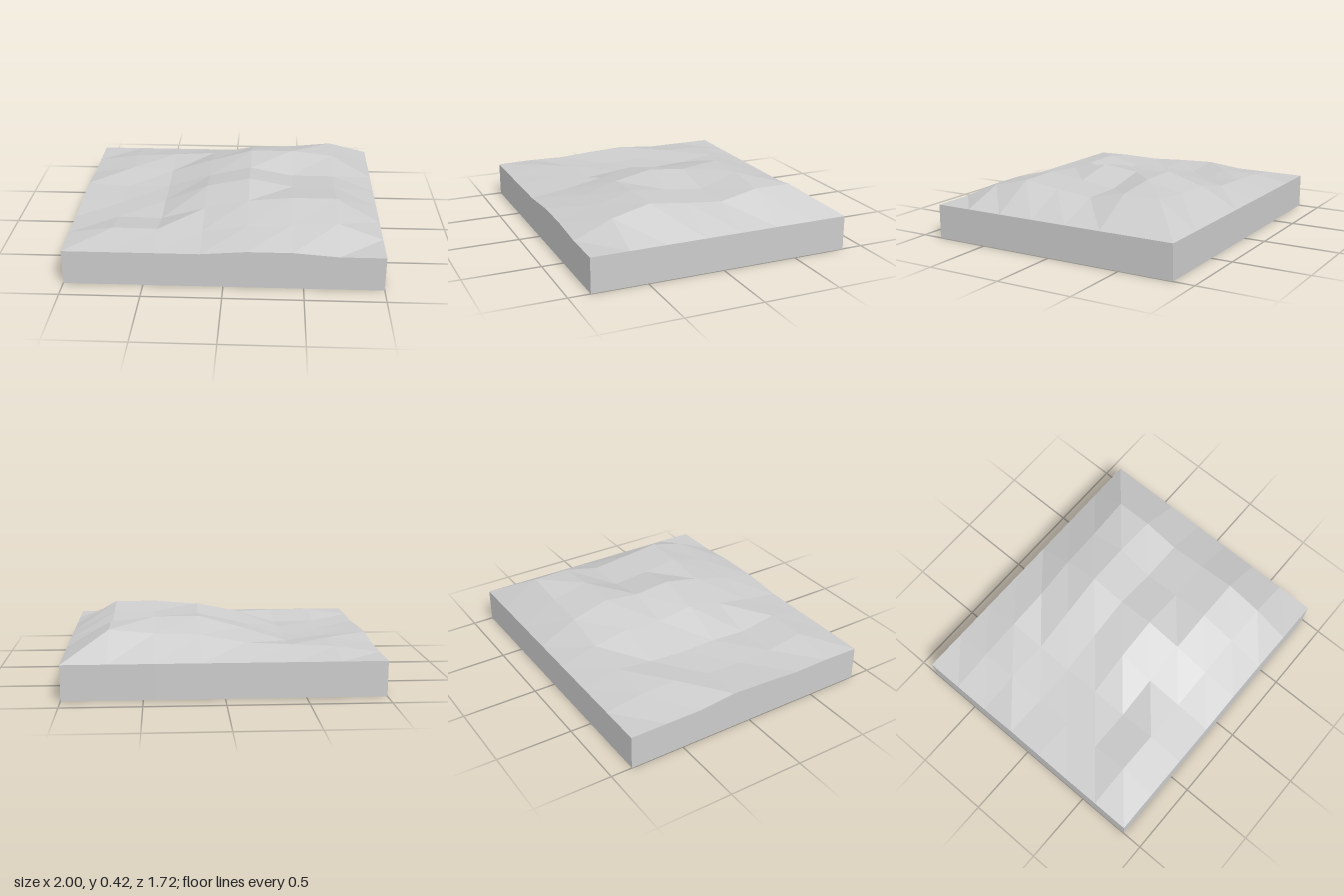
import * as THREE from 'three';

const WIDTH = 2, DEPTH = 1.72, CELLS = 7;

// Ground heights on an 8 x 8 lattice: rows run back to front, columns along +x
const HEIGHTS = [
  [.225, .225, .225, .225, .225, .225, .225, .225],
  [.225, .265, .28, .295, .35, .36, .388, .225],
  [.225, .27, .25, .34, .42, .42, .39, .225],
  [.25, .23, .235, .325, .39, .335, .335, .225],
  [.24, .225, .24, .355, .415, .36, .36, .225],
  [.225, .23, .225, .305, .365, .39, .39, .225],
  [.23, .272, .268, .26, .30, .32, .33, .225],
  [.225, .225, .225, .225, .247, .247, .225, .225],
];

const material = () => new THREE.MeshStandardMaterial({ color: 0xcccccc, flatShading: true });

// Lattice point on the ground surface
const point = (col, row) => [
  (col / CELLS - 0.5) * WIDTH, HEIGHTS[row][col], (row / CELLS - 0.5) * DEPTH,
];

// Faceted hilly surface
function makeTerrain() {
  const geo = new THREE.PlaneGeometry(WIDTH, DEPTH, CELLS, CELLS).rotateX(-Math.PI / 2);
  const pos = geo.attributes.position;
  HEIGHTS.flat().forEach((h, i) => pos.setY(i, h));
  const faceted = geo.toNonIndexed();
  faceted.computeVertexNormals();
  return faceted;
}

// Walls from the ground edge down to y = 0, walked round the border
function makeWalls() {
  const border = [];
  for (let i = 0; i < CELLS; i++) border.push(point(i, CELLS)); // front
  for (let i = CELLS; i > 0; i--) border.push(point(CELLS, i)); // left side
  for (let i = CELLS; i > 0; i--) border.push(point(i, 0)); // back
  for (let i = 0; i < CELLS; i++) border.push(point(0, i)); // right side
  const verts = [];
  border.forEach((a, i) => {
    const b = border[(i + 1) % border.length];
    const a0 = [a[0], 0, a[2]], b0 = [b[0], 0, b[2]];
    verts.push(...a0, ...b0, ...b, ...a0, ...b, ...a);
  });
  const geo = new THREE.BufferGeometry();
  geo.setAttribute('position', new THREE.Float32BufferAttribute(verts, 3));
  geo.computeVertexNormals();
  return geo;
}

export function createModel() {
  const group = new THREE.Group();
  group.name = 'terrainTile';
  const add = (name, geo) => {
    const mesh = new THREE.Mesh(geo, material());
    mesh.name = name;
    group.add(mesh);
  };
  add('hillySurface', makeTerrain());
  add('sideWalls', makeWalls());
  // Flat underside
  add('underside', new THREE.PlaneGeometry(WIDTH, DEPTH).rotateX(Math.PI / 2));
  return group;
}
